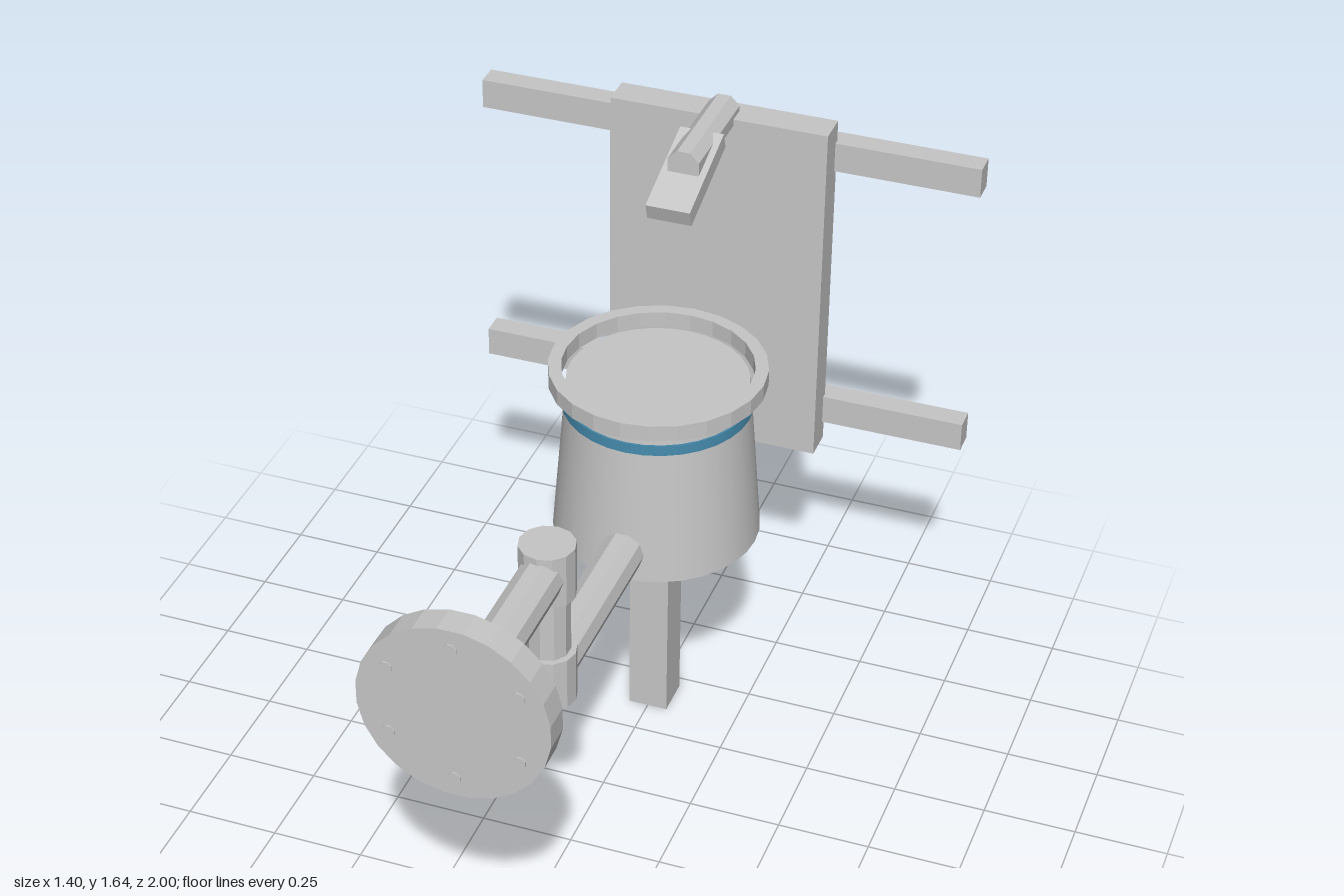
import * as THREE from 'three';

export function createModel() {
  const model = new THREE.Group();
  const grey = new THREE.MeshStandardMaterial({ color: 0xc6c6c6 });
  grey.name = 'grey metal';
  const blue = new THREE.MeshStandardMaterial({ color: 0x4488aa });
  blue.name = 'blue trim';

  const add = (name, geometry, material, x, y, z) => {
    const mesh = new THREE.Mesh(geometry, material);
    mesh.name = name;
    mesh.position.set(x, y, z);
    model.add(mesh);
    return mesh;
  };
  const box = (name, w, h, d, x, y, z) => add(name, new THREE.BoxGeometry(w, h, d), grey, x, y, z);
  // Cylinder with flat facets
  const facetedCylinder = (r, h, sides) => {
    const g = new THREE.CylinderGeometry(r, r, h, sides).toNonIndexed();
    g.computeVertexNormals();
    return g;
  };
  const upright = (name, r, h, sides, y, z) => add(name, facetedCylinder(r, h, sides), grey, 0, y, z);
  // Cylinder lying along z, from z0 to z1
  const lying = (name, r, z0, z1, sides, x, y) => {
    const g = facetedCylinder(r, z1 - z0, sides);
    g.rotateY(Math.PI / sides).rotateX(Math.PI / 2);
    return add(name, g, grey, x, y, (z0 + z1) / 2);
  };

  // Back panel and its two rails
  box('backPanel', 0.604, 1.004, 0.09, 0, 1.102, -0.907);
  for (const y of [0.702, 1.503]) box('rail', 1.4, 0.083, 0.064, 0, y, -0.968);

  // Square post, tapered drum, blue band and top ring
  const cz = -0.41;
  box('post', 0.11, 0.62, 0.11, 0, 0.31, cz);
  add('drum', new THREE.CylinderGeometry(0.243, 0.28, 0.46, 32), grey, 0, 0.833, cz);
  add('blueBand', new THREE.CylinderGeometry(0.252, 0.254, 0.028, 32), blue, 0, 1.004, cz);
  const ring = new THREE.Shape().absarc(0, 0, 0.29, 0, Math.PI * 2);
  ring.holes.push(new THREE.Path().absarc(0, 0, 0.255, 0, Math.PI * 2, true));
  const ringGeometry = new THREE.ExtrudeGeometry(ring, { depth: 0.045, bevelEnabled: false, curveSegments: 12 });
  ringGeometry.rotateX(-Math.PI / 2);
  add('topRing', ringGeometry, grey, 0, 1.06, cz);

  // Jointed arm
  const jz = 0.392;
  lying('lowerArm', 0.059, -0.2, jz, 10, 0, 0.682);
  upright('lowerJoint', 0.073, 0.148, 12, 0.684, jz);
  upright('armLink', 0.057, 0.2, 10, 0.845, jz);
  upright('upperJoint', 0.073, 0.148, 12, 1.005, jz);
  lying('upperArm', 0.059, jz, 0.79, 10, 0, 1.005);

  // Free-standing flange with six bolts
  lying('flange', 0.245, 0.92, 0.996, 24, 0, 1.005);
  for (let i = 0; i < 6; i++) {
    const a = Math.PI / 6 + (i * Math.PI) / 3;
    lying('flangeBolt', 0.017, 0.916, 1, 8, 0.19 * Math.cos(a), 1.005 + 0.19 * Math.sin(a));
  }

  // Bracket rod and tilted head above the panel
  lying('headRod', 0.046, -0.912, -0.585, 8, 0, 1.602);
  box('tiltedHead', 0.12, 0.048, 0.28, 0, 1.564, -0.607).rotation.x = 0.33;

  return model;
}
